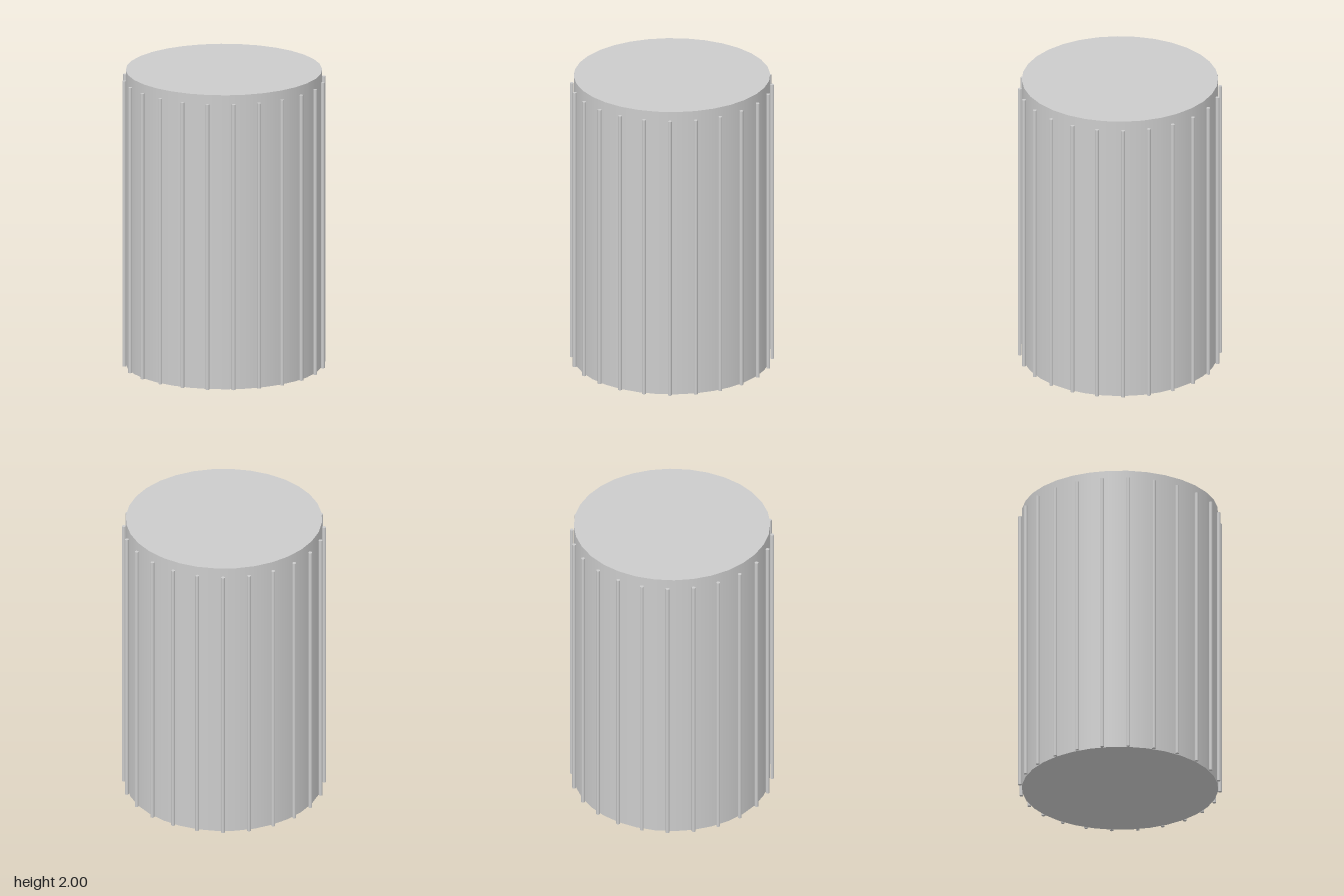
import * as THREE from 'three';

const BODY_RADIUS = 0.645;
const BODY_HEIGHT = 2;
const ROD_COUNT = 24;
const ROD_RADIUS = 0.0125;
const ROD_HEIGHT = 1.94;
const ROD_RING = 0.658;

export function createModel() {
  const model = new THREE.Group();
  model.name = 'ribbedCylinder';
  const material = new THREE.MeshStandardMaterial({ color: 0xcccccc });

  // Solid round body
  const body = new THREE.Mesh(
    new THREE.CylinderGeometry(BODY_RADIUS, BODY_RADIUS, BODY_HEIGHT, 32),
    material
  );
  body.name = 'body';
  body.position.y = BODY_HEIGHT / 2;
  model.add(body);

  // Ring of thin upright ribs, stopping just short of the top
  const ribs = new THREE.Group();
  ribs.name = 'ribs';
  const ribGeometry = new THREE.CylinderGeometry(ROD_RADIUS, ROD_RADIUS, ROD_HEIGHT, 12);
  for (let i = 0; i < ROD_COUNT; i++) {
    const angle = (i / ROD_COUNT) * Math.PI * 2;
    const rib = new THREE.Mesh(ribGeometry, material);
    rib.name = 'rib';
    rib.position.set(Math.sin(angle) * ROD_RING, ROD_HEIGHT / 2, Math.cos(angle) * ROD_RING);
    ribs.add(rib);
  }
  model.add(ribs);

  return model;
}
